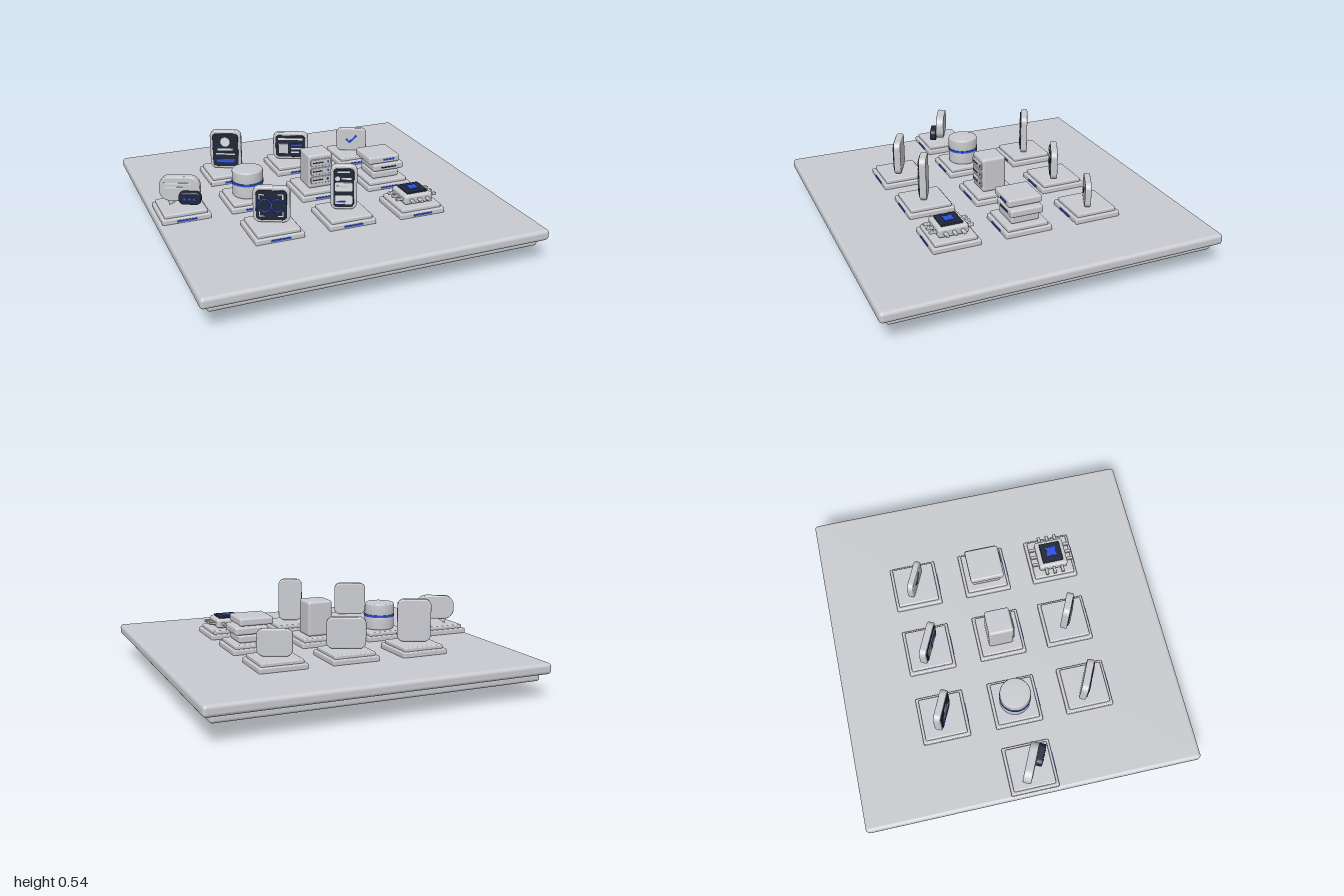
import * as THREE from 'three';
import { RoundedBoxGeometry } from 'three/addons/geometries/RoundedBoxGeometry.js';

const mat = (name, hex) => {
  const m = new THREE.MeshStandardMaterial({ color: hex });
  m.name = name;
  return m;
};

export function createModel() {
  const grey = mat('silver grey', 0xc9cacf);
  const light = mat('pale grey', 0xe0e2e8);
  const navy = mat('dark navy', 0x1f2638);
  const blue = mat('bright blue', 0x2b50e0);

  const root = new THREE.Group();
  root.name = 'iconBoard';

  const add = (parent, name, geo, material, x = 0, y = 0, z = 0) => {
    const mesh = new THREE.Mesh(geo, material);
    mesh.name = name;
    mesh.position.set(x, y, z);
    parent.add(mesh);
    return mesh;
  };
  const slab = (parent, name, w, h, d, r, material, x, y, z) =>
    add(parent, name, new RoundedBoxGeometry(w, h, d, 3, r), material, x, y, z);
  const bar = (parent, name, w, h, material, x, y, z, d = 0.004) =>
    add(parent, name, new THREE.BoxGeometry(w, h, d), material, x, y, z);

  // Upright plate with rounded corners, centred on its middle
  const plate = (parent, name, w, h, d, r, material, x = 0, y = 0, z = 0) => {
    const bevel = Math.min(0.008, d * 0.25);
    const a = w / 2 - bevel, b = h / 2 - bevel, c = Math.max(r - bevel, 0.002);
    const s = new THREE.Shape();
    s.moveTo(-a + c, -b);
    s.lineTo(a - c, -b);
    s.absarc(a - c, -b + c, c, -Math.PI / 2, 0);
    s.absarc(a - c, b - c, c, 0, Math.PI / 2);
    s.absarc(-a + c, b - c, c, Math.PI / 2, Math.PI);
    s.absarc(-a + c, -b + c, c, Math.PI, Math.PI * 1.5);
    const geo = new THREE.ExtrudeGeometry(s, {
      depth: d - 2 * bevel, bevelEnabled: true, bevelSize: bevel,
      bevelThickness: bevel, bevelSegments: 3, curveSegments: 8,
    });
    geo.translate(0, 0, -d / 2 + bevel);
    return add(parent, name, geo, material, x, y, z);
  };
  const disc = (parent, name, r, material, x, y, z) => {
    const m = add(parent, name, new THREE.CylinderGeometry(r, r, 0.004, 20), material, x, y, z);
    m.rotation.x = Math.PI / 2;
    return m;
  };

  // Board in three layers
  slab(root, 'foot', 1.08, 0.1, 1.08, 0.04, grey, 0, 0.05, 0);
  slab(root, 'lowerBoard', 1.91, 0.05, 1.91, 0.018, grey, 0, 0.125, 0);
  slab(root, 'upperBoard', 2, 0.065, 2, 0.022, grey, 0, 0.178, 0);

  // Two-tier pedestal with a blue strip on its front
  const station = (name, x, z) => {
    const g = new THREE.Group();
    g.name = name;
    g.position.set(x, 0, z);
    root.add(g);
    slab(g, 'pedestalBase', 0.284, 0.034, 0.284, 0.008, grey, 0, 0.224, 0);
    slab(g, 'pedestalTop', 0.25, 0.026, 0.25, 0.008, grey, 0, 0.25, 0);
    bar(g, 'pedestalStrip', 0.115, 0.01, blue, 0, 0.224, 0.143, 0.006);
    return g;
  };
  // Turned group for upright panels, origin at the panel middle
  const turned = (parent, name, y) => {
    const g = new THREE.Group();
    g.name = name;
    g.position.y = y;
    g.rotation.y = -0.44;
    parent.add(g);
    return g;
  };

  // Speech bubbles
  {
    const g = turned(station('chatStation', -0.84, 0), 'speechBubbles', 0.365);
    plate(g, 'largeBubble', 0.235, 0.15, 0.05, 0.06, grey);
    const tail = new THREE.Shape([[-0.075, -0.06], [-0.062, -0.103], [-0.01, -0.07]].map(p => new THREE.Vector2(...p)));
    const tailGeo = new THREE.ExtrudeGeometry(tail, { depth: 0.03, bevelEnabled: false });
    add(g, 'bubbleTail', tailGeo, grey, 0, 0, -0.015);
    [0.16, 0.11].forEach((w, i) => bar(g, 'messageLine', w, 0.008, light, -0.01 - i * 0.025, 0.035 - i * 0.025, 0.026));
    plate(g, 'smallBubble', 0.13, 0.075, 0.04, 0.03, navy, 0.065, -0.042, 0.045);
    for (const i of [-1, 0, 1]) disc(g, 'typingDot', 0.008, blue, 0.065 + i * 0.028, -0.042, 0.066);
  }

  // Storage drum
  {
    const g = station('storageStation', -0.435, 0);
    const drum = (name, y0, y1) => {
      const r = 0.091, b = 0.01;
      const pts = [[0, y0], [r - b, y0], [r - 0.003, y0 + 0.003], [r, y0 + b], [r, y1 - b],
        [r - 0.003, y1 - 0.003], [r - b, y1], [0, y1]].map(p => new THREE.Vector2(...p));
      add(g, name, new THREE.LatheGeometry(pts, 40), grey);
    };
    drum('lowerDrum', 0.262, 0.345);
    drum('upperDrum', 0.35, 0.425);
    add(g, 'drumBand', new THREE.CylinderGeometry(0.094, 0.094, 0.014, 40), blue, 0, 0.348, 0);
  }

  // Server cabinet with drawers
  {
    const g = station('serverStation', 0, 0);
    slab(g, 'cabinet', 0.155, 0.213, 0.15, 0.016, grey, 0, 0.368, 0);
    for (let i = 0; i < 3; i++) {
      const y = 0.315 + i * 0.055;
      plate(g, 'drawer', 0.13, 0.042, 0.014, 0.008, grey, 0, y, 0.075);
      bar(g, 'drawerSlot', 0.065, 0.006, navy, -0.02, y, 0.083);
      bar(g, 'drawerLamp', 0.01, 0.01, blue, 0.045, y, 0.083);
    }
  }

  // Stacked trays
  {
    const g = station('stackStation', 0.43, 0);
    [[0.175, 0, 0.287], [0.2, 0.012, 0.337], [0.205, -0.018, 0.389]].forEach(([w, x, y]) =>
      slab(g, 'tray', w, 0.046, w, 0.012, grey, x, y, 0));
    bar(g, 'trayStrip', 0.075, 0.01, blue, 0.01, 0.389, 0.104);
    bar(g, 'trayStrip', 0.1, 0.008, navy, 0.012, 0.337, 0.101);
  }

  // Upright card with a dark screen
  const screenPanel = (st, name, w, h, y, d = 0.042) => {
    const g = turned(st, name, y);
    plate(g, 'frame', w, h, d, 0.038, grey);
    plate(g, 'screen', w - 0.034, h - 0.034, 0.006, 0.024, navy, 0, 0, d / 2 + 0.002);
    return g;
  };
  const zs = 0.028;

  // Profile card
  {
    const g = screenPanel(station('profileStation', -0.435, -0.437), 'profileCard', 0.195, 0.25, 0.393);
    disc(g, 'portrait', 0.03, light, 0, 0.055, zs);
    bar(g, 'nameLine', 0.1, 0.012, light, 0, 0.005, zs);
    bar(g, 'detailLine', 0.12, 0.01, grey, 0, -0.025, zs);
    bar(g, 'button', 0.11, 0.022, blue, 0, -0.07, zs);
  }

  // Window panel
  {
    const g = screenPanel(station('windowStation', 0, -0.437), 'windowPanel', 0.225, 0.18, 0.357);
    bar(g, 'titleBar', 0.16, 0.012, light, 0, 0.05, zs);
    bar(g, 'picture', 0.06, 0.065, grey, -0.045, -0.015, zs);
    bar(g, 'textLine', 0.07, 0.01, blue, 0.04, 0.01, zs);
    bar(g, 'textLine', 0.07, 0.01, light, 0.04, -0.015, zs);
    bar(g, 'textLine', 0.05, 0.01, light, 0.03, -0.04, zs);
  }

  // Plain card with a tick
  {
    const g = turned(station('tickStation', 0.43, -0.437), 'tickCard', 0.341);
    plate(g, 'card', 0.2, 0.155, 0.036, 0.04, grey);
    bar(g, 'tickShort', 0.035, 0.012, blue, -0.022, -0.008, 0.02).rotation.z = -Math.PI / 4;
    bar(g, 'tickLong', 0.07, 0.012, blue, 0.012, 0.004, 0.02).rotation.z = Math.PI / 4;
  }

  // Scanner panel with a double loop
  {
    const g = screenPanel(station('scannerStation', -0.435, 0.43), 'scannerPanel', 0.205, 0.21, 0.377);
    for (const sx of [-1, 1]) {
      const loop = add(g, 'loop', new THREE.TorusGeometry(0.033, 0.004, 6, 24), blue, sx * 0.034, 0, zs);
      loop.scale.set(1, 1.1, 0.6);
      for (const sy of [-1, 1]) {
        bar(g, 'bracket', 0.03, 0.006, light, sx * 0.052, sy * 0.064, zs);
        bar(g, 'bracket', 0.006, 0.03, light, sx * 0.064, sy * 0.052, zs);
      }
    }
  }

  // Phone with a list
  {
    const g = screenPanel(station('phoneStation', 0, 0.418), 'phone', 0.15, 0.268, 0.404);
    bar(g, 'heading', 0.07, 0.01, light, 0, 0.098, zs);
    disc(g, 'listDot', 0.014, light, -0.035, 0.058, zs);
    bar(g, 'listLine', 0.055, 0.01, light, 0.015, 0.058, zs);
    for (const y of [0.008, -0.07]) plate(g, 'listCard', 0.1, 0.055, 0.006, 0.01, light, 0, y, zs);
    bar(g, 'cardLine', 0.06, 0.008, grey, -0.01, 0.012, zs + 0.003);
    bar(g, 'cardLine', 0.05, 0.008, blue, -0.015, -0.082, zs + 0.003);
  }

  // Processor chip with pins on four sides
  {
    const g = station('chipStation', 0.43, 0.43);
    slab(g, 'chipBody', 0.178, 0.058, 0.178, 0.016, grey, 0, 0.296, 0);
    slab(g, 'chipPlate', 0.128, 0.016, 0.128, 0.004, navy, 0, 0.328, 0);
    for (let side = 0; side < 4; side++) {
      const arm = new THREE.Group();
      arm.name = 'pinRow';
      arm.rotation.y = side * Math.PI / 2;
      g.add(arm);
      for (const i of [-1, 0, 1]) slab(arm, 'pin', 0.02, 0.016, 0.055, 0.005, grey, i * 0.05, 0.296, 0.103);
    }
    const star = new THREE.Shape();
    for (let i = 0; i < 8; i++) {
      const r = i % 2 ? 0.026 : 0.046, a = Math.PI / 4 + i * Math.PI / 4;
      star[i ? 'lineTo' : 'moveTo'](r * Math.cos(a), r * Math.sin(a));
    }
    star.closePath();
    const geo = new THREE.ExtrudeGeometry(star, { depth: 0.006, bevelEnabled: false });
    geo.rotateX(-Math.PI / 2);
    add(g, 'chipStar', geo, blue, 0, 0.334, 0);
  }

  return root;
}
